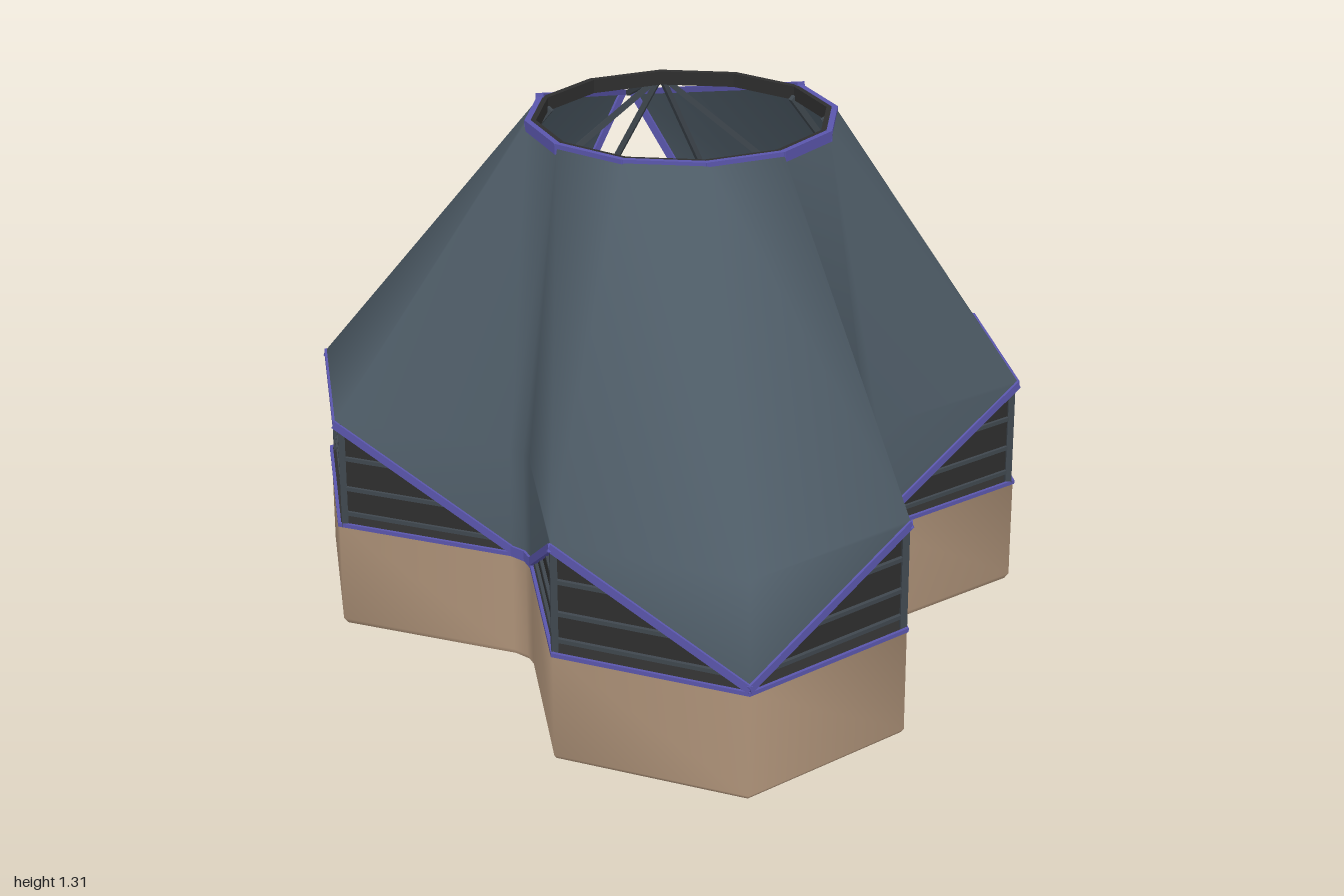
import * as THREE from 'three';
import { mergeVertices } from 'three/addons/utils/BufferGeometryUtils.js';

const mat = (name, color, double) => {
  const m = new THREE.MeshStandardMaterial({ color });
  m.name = name;
  if (double) m.side = THREE.DoubleSide;
  return m;
};

export function createModel() {
  const model = new THREE.Group();
  model.name = 'threeWingBuilding';

  const slate = mat('slateRoof', 0x4f5d68, true);
  const tan = mat('tanStone', 0xb0947a);
  const blue = mat('blueTrim', 0x5a56ac);
  const dark = mat('darkPanel', 0x2e2e2e, true);
  const frame = mat('greyFrame', 0x3f474e);

  const TOP = 1.3, EAVE = 0.55, HIGH = 0.54, LOW = 0.285, R = 0.37, BASE = 0.272;
  const V = (x, y, z) => new THREE.Vector3(x, y, z);

  // Half plan from the front tip round to the rear tip of the side wing:
  // x, z, matching angle on the roof ring, height of the zigzag eave
  const half = [
    [0, 1, 0, LOW],
    [0.41, 0.75, 30, HIGH],
    [0.41, 0.29, 60, LOW], [0.42, 0.25, 60, LOW], [0.45, 0.215, 60, LOW],
    [0.855, -0.015, 90, HIGH],
    [0.855, -0.49, 120, HIGH],
  ];
  const mirrored = half.slice(1).reverse().map(([x, z, a, h]) => [-x, z, -a, h]);
  const plan = [...mirrored, ...half];
  const rear = [0.444, -0.72];
  const outline = [[-rear[0], rear[1]], ...plan.map(([x, z]) => [x, z]), rear];
  const ringPoint = (deg, r = R, y = TOP) => {
    const a = THREE.MathUtils.degToRad(deg);
    return V(r * Math.sin(a), y, r * Math.cos(a));
  };

  const add = (parent, geometry, material, name) => {
    const mesh = new THREE.Mesh(geometry, material);
    mesh.name = name;
    parent.add(mesh);
    return mesh;
  };
  const group = (name) => {
    const g = new THREE.Group();
    g.name = name;
    model.add(g);
    return g;
  };
  // Straight bar from a to b
  const bar = (parent, a, b, w, h, material, name) => {
    const mesh = add(parent, new THREE.BoxGeometry(w, h, a.distanceTo(b) + w * 0.5), material, name);
    mesh.position.copy(a).add(b).multiplyScalar(0.5);
    mesh.lookAt(b);
    return mesh;
  };
  // Geometry from triangles of points; smooth shares normals between neighbours
  const surface = (tris, smooth) => {
    let g = new THREE.BufferGeometry().setFromPoints(tris.flat());
    if (smooth) g = mergeVertices(g, 1e-4);
    g.computeVertexNormals();
    return g;
  };
  const quad = (tl, bl, br, tr) => [[tl, bl, br], [tl, br, tr]];

  // Base: chamfered foot, smooth wall and caps
  const baseRows = [[BASE, 1], [0.012, 1], [0, 0.988]].map(([y, s]) =>
    outline.map(([x, z]) => V(x * s, y, z * s)));
  const wall = [];
  for (let r = 0; r < 2; r++) {
    outline.forEach((_, i) => {
      const j = (i + 1) % outline.length;
      wall.push(...quad(baseRows[r][i], baseRows[r + 1][i], baseRows[r + 1][j], baseRows[r][j]));
    });
  }
  const base = group('base');
  add(base, surface(wall, true), tan, 'baseWall');
  const cap = (s, sign) => new THREE.ShapeGeometry(new THREE.Shape(
    outline.map(([x, z]) => new THREE.Vector2(x * s, z * s * sign)))).rotateX(sign * Math.PI / 2);
  add(base, cap(0.988, 1), tan, 'baseUnderside');
  add(base, cap(1, -1).translate(0, BASE, 0), dark, 'floor');

  // Roof: ring lofted to the eave, vertical flaps, and two rear panels
  const top = plan.map((p) => ringPoint(p[2]));
  const eave = plan.map(([x, z]) => V(x, EAVE, z));
  const zig = plan.map(([x, z, , h]) => V(x, h, z));
  const roof = [];
  for (let i = 0; i < plan.length - 1; i++) {
    roof.push(...quad(top[i], eave[i], eave[i + 1], top[i + 1]));
    roof.push(...quad(eave[i], zig[i], zig[i + 1], eave[i + 1]));
  }
  const n = plan.length - 1;
  const flip = (p) => V(-p.x, p.y, p.z);
  const P = V(0.015, 1.05, -0.995), Q = V(rear[0], LOW, rear[1]);
  const rearTris = [[top[n], eave[n], P], [eave[n], Q, P], [eave[n], zig[n], Q]];
  rearTris.forEach((t) => roof.push(t, [flip(t[0]), flip(t[2]), flip(t[1])]));
  add(model, surface(roof, true), slate, 'roofShell');

  // Blue trim along every roof edge and the top of the base
  const trim = group('trim');
  for (let i = 0; i < n; i++) {
    bar(trim, zig[i], zig[i + 1], 0.012, 0.02, blue, 'eaveTrim');
  }
  for (let a = -120; a < 120; a += 30) {
    bar(trim, ringPoint(a, R, TOP - 0.013), ringPoint(a + 30, R, TOP - 0.013), 0.014, 0.026, blue, 'ringTrim');
  }
  for (const m of [(p) => p, flip]) {
    bar(trim, m(zig[n]), m(Q), 0.012, 0.02, blue, 'eaveTrim');
    bar(trim, m(top[n]), m(P), 0.02, 0.014, blue, 'openingTrim');
    bar(trim, m(P), m(Q), 0.014, 0.02, blue, 'openingTrim');
  }
  outline.forEach(([x, z], i) => {
    const [x2, z2] = outline[(i + 1) % outline.length];
    bar(trim, V(x, BASE, z), V(x2, BASE, z2), 0.008, 0.01, blue, 'baseTrim');
  });

  // Windows: dark panes under the eaves with rails and corner posts
  const windows = group('windows');
  const bays = [[-rear[0], rear[1], 0, LOW], ...plan, [...rear, 0, LOW]];
  const panes = [];
  const at = (p, y, s) => V(p[0] * s, y, p[1] * s);
  for (let i = 0; i < bays.length - 1; i++) {
    const a = bays[i], b = bays[i + 1];
    if (a[3] === LOW && b[3] === LOW) continue;
    const sill = 0.3, s = 0.975;
    panes.push(...quad(at(a, Math.max(a[3], sill), s), at(a, sill, s), at(b, sill, s), at(b, Math.max(b[3], sill), s)));
    for (const y of [0.303, 0.37, 0.45]) {
      // Each rail stops where the sloping eave meets it
      const cut = (p, q) => {
        const t = p[3] >= y ? 0 : (y - p[3]) / (q[3] - p[3]);
        return at([p[0] + (q[0] - p[0]) * t, p[1] + (q[1] - p[1]) * t], y, 0.982);
      };
      bar(windows, cut(a, b), cut(b, a), 0.01, 0.01, frame, 'windowRail');
    }
  }
  add(windows, surface(panes, false), dark, 'windowPanes');
  plan.filter((p) => p[3] === HIGH).forEach((p) =>
    bar(windows, at(p, BASE, 0.984), at(p, HIGH, 0.984), 0.016, 0.016, frame, 'cornerPost'));

  // Inner ring and rafters
  const rafters = group('rafters');
  for (let a = 0; a < 360; a += 30) {
    bar(rafters, ringPoint(a, 0.358, TOP - 0.018), ringPoint(a + 30, 0.358, TOP - 0.018), 0.016, 0.034, dark, 'innerRing');
  }
  plan.forEach((p) => {
    if (p[1] === 0.29 || p[1] === 0.215) return;
    bar(rafters, ringPoint(p[2], 0.345, TOP - 0.03), at(p, EAVE - 0.03, 0.965), 0.012, 0.016, frame, 'rafter');
  });
  const hub = V(0, TOP - 0.015, -0.36);
  bar(rafters, hub, V(0, 1.05, -0.985), 0.01, 0.014, frame, 'ridgeBeam');
  for (const s of [-1, 1]) {
    bar(rafters, hub, V(s * 0.82, 0.55, -0.49), 0.01, 0.014, frame, 'hubRafter');
    bar(rafters, hub, V(s * 0.435, 0.29, -0.71), 0.01, 0.014, frame, 'hubRafter');
  }

  return model;
}
